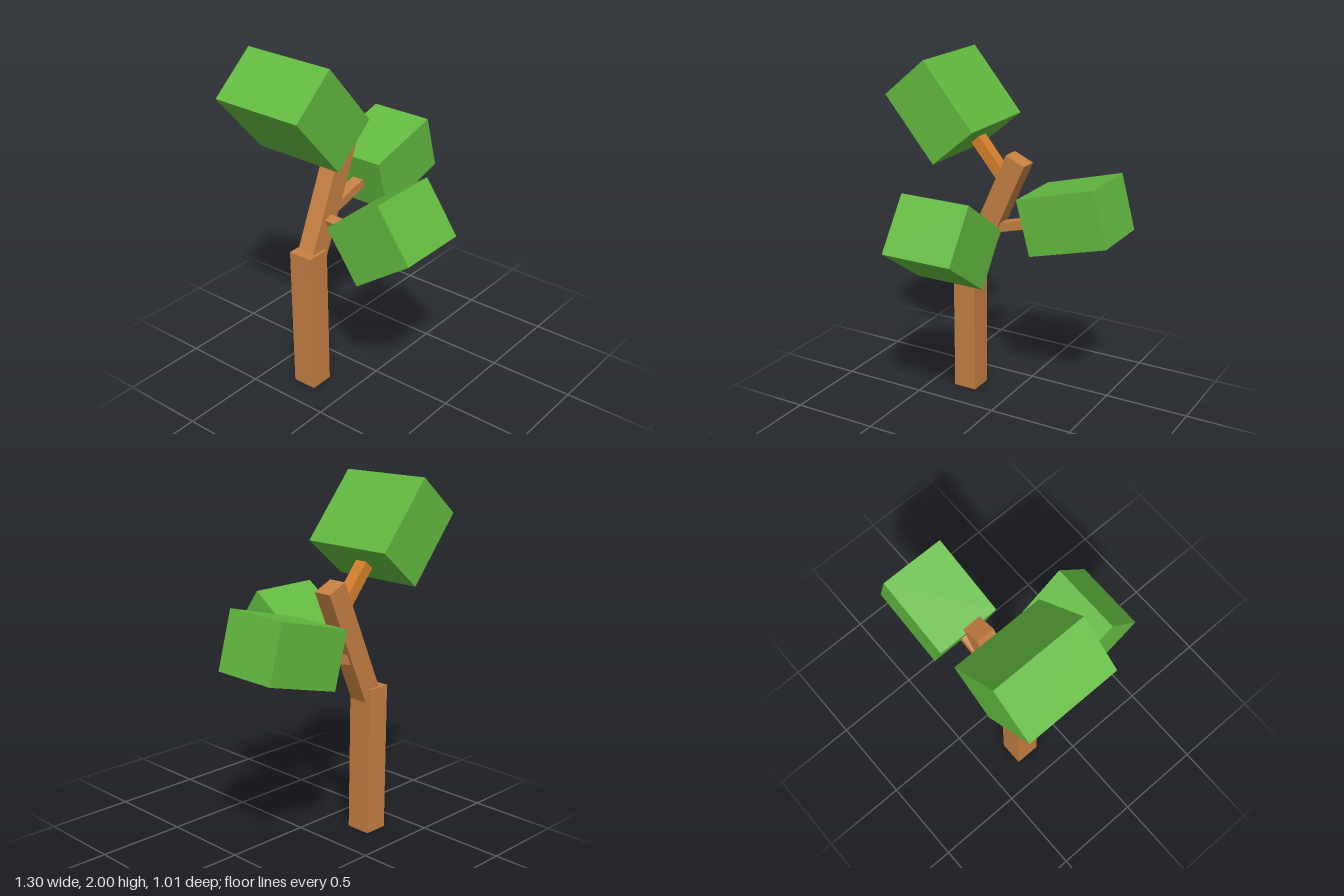
import * as THREE from 'three';

export function createModel() {
  const model = new THREE.Group();
  const material = (name, color) => {
    const m = new THREE.MeshStandardMaterial({ color });
    m.name = name;
    return m;
  };
  const bark = material('bark brown', 0xc68043);
  const orange = material('orange bark', 0xd5802c);
  const leaf = material('leaf green', 0x63ba40);

  // Box given by its size, centre and rotation (degrees about x and z)
  const box = (name, mat, size, centre, rx = 0, rz = 0) => {
    const mesh = new THREE.Mesh(new THREE.BoxGeometry(...size), mat);
    mesh.name = name;
    mesh.position.set(...centre);
    mesh.rotation.set(THREE.MathUtils.degToRad(rx), 0, THREE.MathUtils.degToRad(rz));
    model.add(mesh);
  };

  // Branch lying in the xy plane between two points
  const branch = (name, mat, [x0, y0], [x1, y1], width, depth) => {
    const angle = THREE.MathUtils.radToDeg(Math.atan2(y1 - y0, x1 - x0));
    const length = Math.hypot(x1 - x0, y1 - y0);
    box(name, mat, [length, width, depth], [(x0 + x1) / 2, (y0 + y1) / 2, -0.25], 0, angle);
  };

  // Trunk and leaning upper trunk
  box('trunk', bark, [0.14, 0.85, 0.145], [-0.285, 0.425, -0.2475]);
  branch('upperTrunk', bark, [-0.255, 0.806], [0.0325, 1.45], 0.125, 0.107);

  // Side branches
  branch('topBranch', orange, [-0.04, 1.31], [-0.258, 1.572], 0.065, 0.072);
  branch('leftBranch', bark, [-0.12, 1.03], [0.24, 1.127], 0.052, 0.07);
  box('frontBranch', bark, [0.054, 0.054, 0.35], [-0.165, 1.005, -0.075], 0, 22);

  // Leaf blocks
  box('topLeaves', leaf, [0.467, 0.325, 0.54], [-0.375, 1.717, -0.235], 0, -50);
  box('leftLeaves', leaf, [0.469, 0.323, 0.376], [0.378, 1.181, -0.26], 0, 15.2);
  box('frontLeaves', leaf, [0.415, 0.344, 0.41], [-0.167, 1.083, 0.236], -35);

  return model;
}
